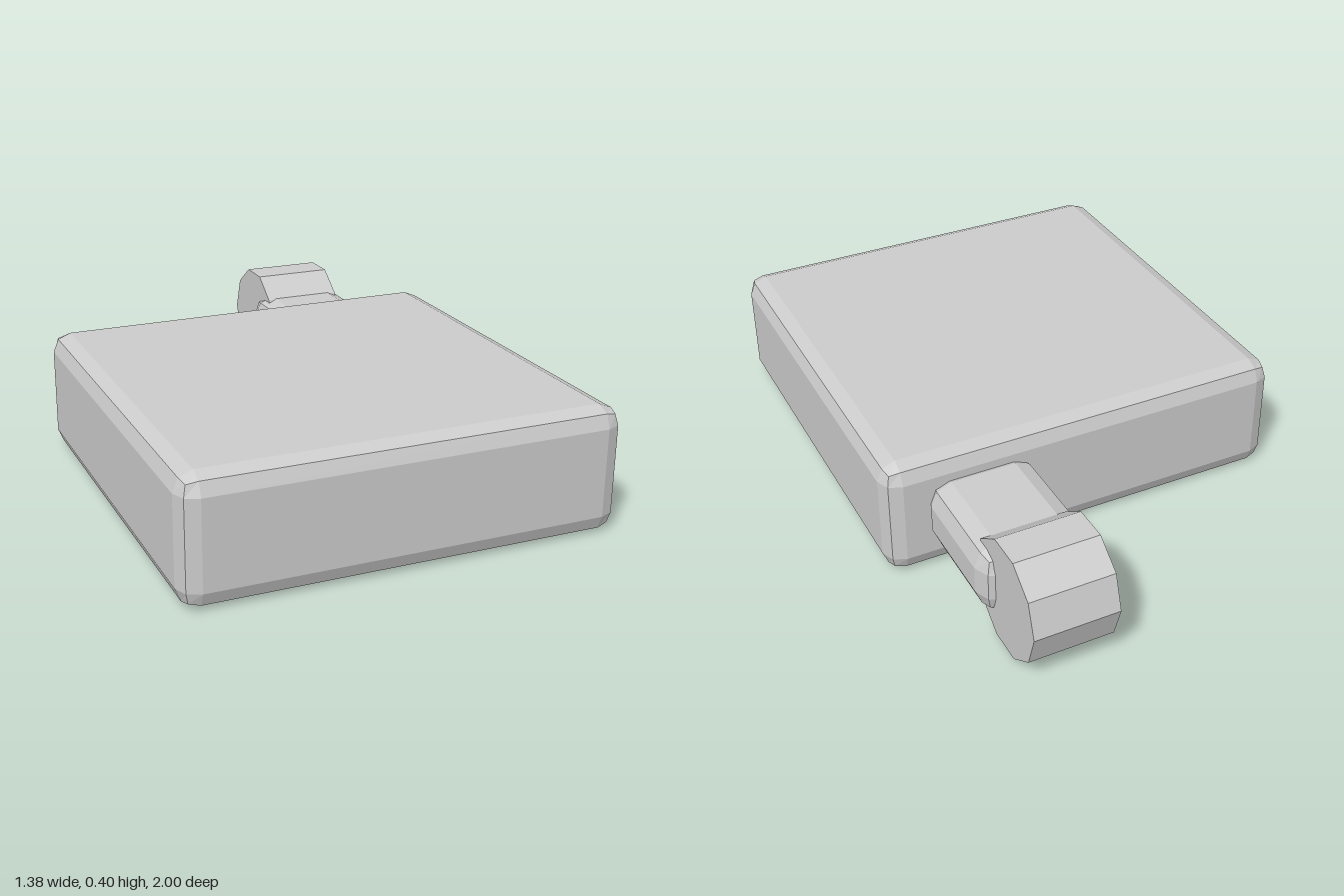
import * as THREE from 'three';
import { RoundedBoxGeometry } from 'three/addons/geometries/RoundedBoxGeometry.js';

export function createModel() {
  const group = new THREE.Group();
  const grey = new THREE.MeshStandardMaterial({ color: 0xcccccc, flatShading: true });

  const add = (name, geometry, x, y, z) => {
    const mesh = new THREE.Mesh(geometry, grey);
    mesh.name = name;
    mesh.position.set(x, y, z);
    group.add(mesh);
    return mesh;
  };

  // Box with two-facet bevelled edges, given by its min and max corners
  const bevelBox = (name, min, max, radius) => {
    const [w, h, d] = max.map((v, i) => v - min[i]);
    const [x, y, z] = max.map((v, i) => (v + min[i]) / 2);
    return add(name, new RoundedBoxGeometry(w, h, d, 1, radius), x, y, z);
  };

  // Main slab
  bevelBox('body', [-0.69, 0, -0.365], [0.69, 0.4, 1], 0.06);

  // Short arm sunk into the back of the slab
  bevelBox('neck', [0.195, 0.088, -0.765], [0.55, 0.318, -0.31], 0.07);

  // Ten-sided drum lying across the end of the arm
  const drum = new THREE.CylinderGeometry(0.19, 0.19, 0.275, 10);
  drum.rotateZ(Math.PI / 2);
  add('drum', drum, 0.3725, 0.203, -0.81);

  return group;
}
